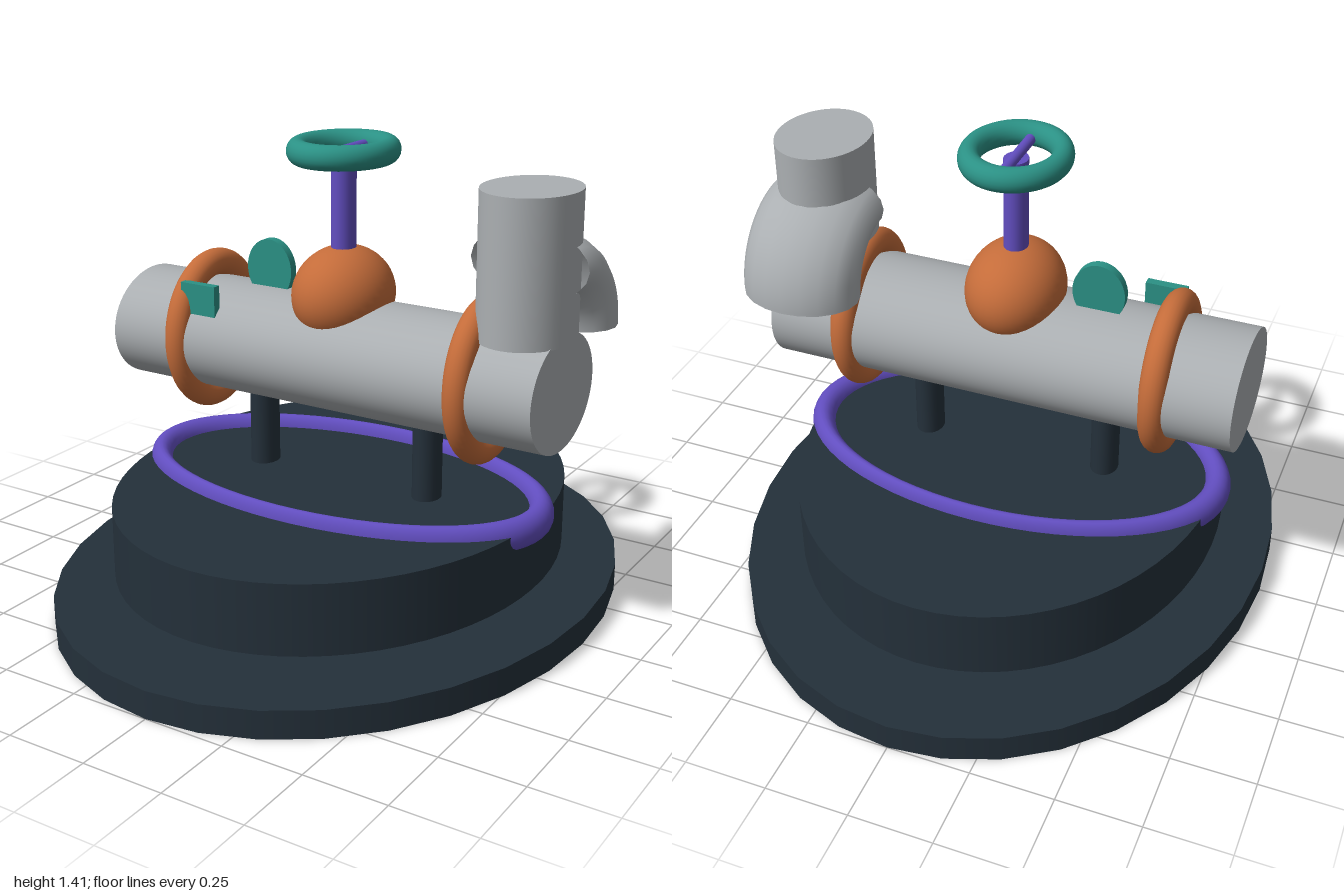
import * as THREE from 'three';
import { mergeVertices } from 'three/addons/utils/BufferGeometryUtils.js';

const mat = (name, color, side = THREE.FrontSide) => {
  const m = new THREE.MeshStandardMaterial({ color, side });
  m.name = name;
  return m;
};

// Elliptical ring in the xy plane: main radii (rx, ry), tube radii (tx, ty, tz)
function ring(rx, ry, tx, ty, tz, arc = Math.PI * 2) {
  const g = new THREE.TorusGeometry(1, 0.5, 20, 64, arc);
  const p = g.attributes.position;
  for (let i = 0; i < p.count; i++) {
    const x = p.getX(i), y = p.getY(i), r = Math.hypot(x, y);
    const c = (r - 1) / 0.5;
    p.setXYZ(i, (x / r) * (rx + tx * c), (y / r) * (ry + ty * c), (p.getZ(i) / 0.5) * tz);
  }
  g.deleteAttribute('normal');
  g.deleteAttribute('uv');
  const merged = mergeVertices(g, 1e-5);
  merged.computeVertexNormals();
  return merged;
}

// Upright elliptical cylinder between two heights
function column(rx, rz, y0, y1, sides = 48) {
  return new THREE.CylinderGeometry(1, 1, y1 - y0, sides).scale(rx, 1, rz).translate(0, (y0 + y1) / 2, 0);
}

export function createModel() {
  const model = new THREE.Group();
  const dark = mat('dark slate', 0x24303a);
  const grey = mat('pipe grey', 0xabafb2, THREE.DoubleSide);
  const copper = mat('copper', 0xc46c3a);
  const teal = mat('teal', 0x2b9185);
  const violet = mat('violet', 0x624ec0);

  const add = (name, geometry, material, x = 0, y = 0, z = 0) => {
    const m = new THREE.Mesh(geometry, material);
    m.name = name;
    m.position.set(x, y, z);
    model.add(m);
  };

  // Stand
  add('basePlate', column(0.82, 1, 0, 0.085, 32), dark);
  add('drum', column(0.655, 0.792, 0.135, 0.35, 64), dark);
  add('hoop', ring(0.652, 0.37, 0.04, 0.021, 0.049).rotateX(-Math.PI / 2), violet, 0, 0.34, 0);

  // Main pipe
  const pipeY = 0.754;
  add('mainPipe', new THREE.CylinderGeometry(1, 1, 1.44, 64).rotateZ(Math.PI / 2).scale(1, 0.1735, 0.209),
    grey, 0, pipeY, 0);

  // Support posts and pipe collars, mirrored
  for (const s of [-1, 1]) {
    add('post', column(0.043, 0.052, 0.05, 0.65, 24), dark, s * 0.294);
    add('collar', ring(0.19, 0.213, 0.039, 0.042, 0.04).rotateY(Math.PI / 2), copper, s * 0.484, 0.758, 0);
  }

  // Valve: ball, stem, handwheel and its spoke
  add('valveBall', new THREE.SphereGeometry(1, 40, 28).scale(0.148, 0.148, 0.178), copper, 0, 0.94, 0);
  add('valveStem', column(0.036, 0.042, 1.0, 1.365, 24), violet);
  add('handwheel', ring(0.131, 0.146, 0.032, 0.035, 0.0375).rotateX(-Math.PI / 2), teal, 0, 1.373, 0);
  add('wheelSpoke', new THREE.CylinderGeometry(0.016, 0.016, 0.27, 16).rotateX(Math.PI / 2), violet, 0, 1.37, 0);

  // Outlet: upright pipe with an open bend behind it
  add('outletPipe', column(0.139, 0.168, 0.905, 1.33), grey, 0.604);
  add('outletBend', ring(0.206, 0.2075, 0.131, 0.1045, 0.181, Math.PI / 2).rotateY(Math.PI / 2),
    grey, 0.603, 0.905, 0);

  // Gauge disc and tag plate
  add('gaugeDisc', new THREE.CylinderGeometry(1, 1, 0.028, 40).rotateX(Math.PI / 2).scale(0.08, 0.094, 1),
    teal, -0.26, 0.981, 0);
  add('tagPlate', new THREE.BoxGeometry(0.125, 0.096, 0.027), teal, -0.416, 0.899, 0.161);

  return model;
}
